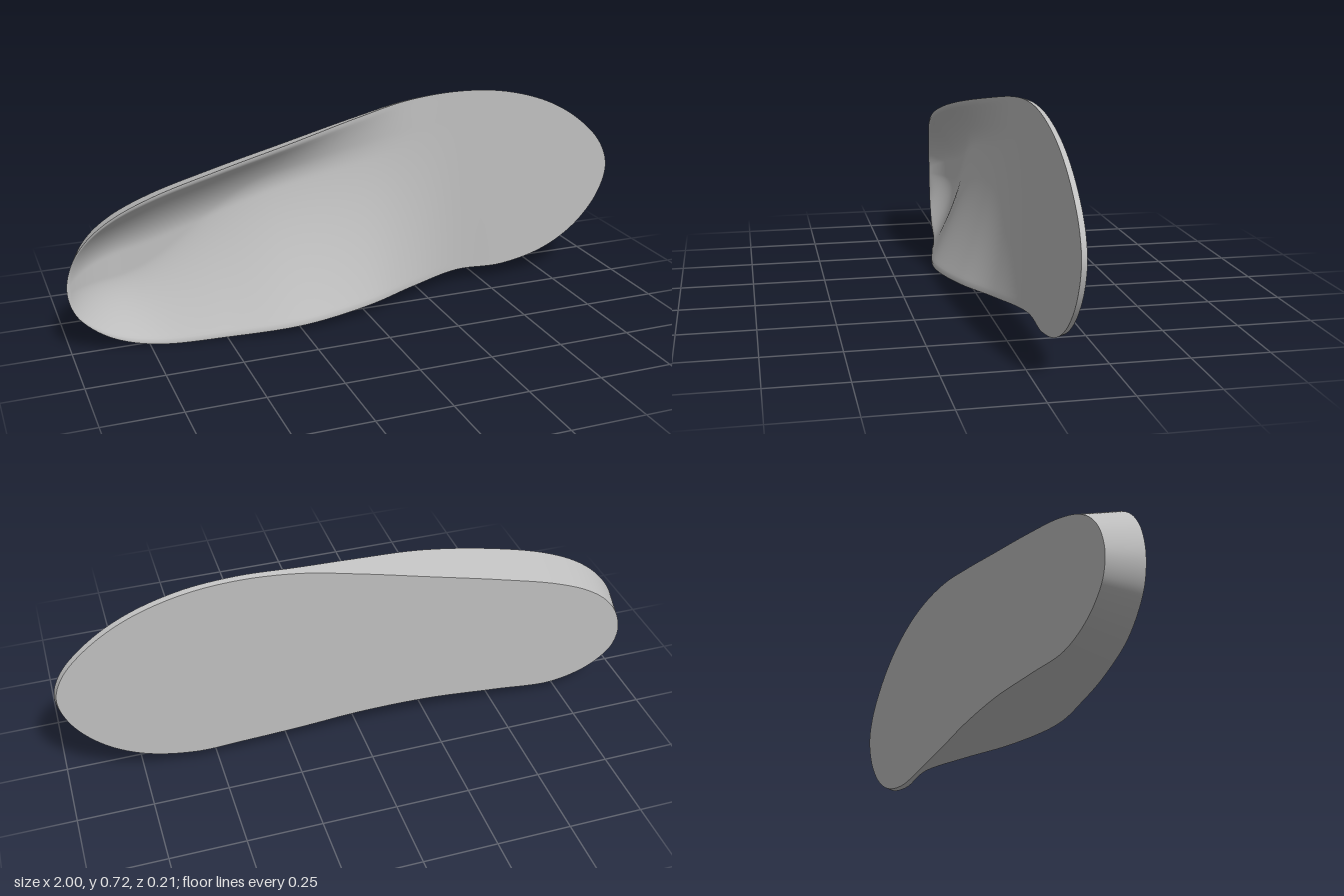
import * as THREE from 'three';
import { mergeVertices } from 'three/addons/utils/BufferGeometryUtils.js';

const BACK = -0.105; // plane of the flat underside
const LEAN = 0.28;   // how far the wall leans in per unit of height

// Rim stations from heel to toe: x, inner y, inner z, outer y, outer z
const heelTip = [-1, 0.22, 0.003];
const stations = [
  [-0.98, 0.14, 0.005, 0.31, 0.007],
  [-0.93, 0.083, 0.01, 0.385, 0.015],
  [-0.85, 0.035, 0.018, 0.45, 0.026],
  [-0.72, 0.003, 0.03, 0.51, 0.034],
  [-0.5, 0.01, 0.072, 0.573, 0.032],
  [-0.25, 0.024, 0.104, 0.63, 0.01],
  [0, 0.038, 0.06, 0.678, -0.042],
  [0.2, 0.047, -0.02, 0.71, -0.08],
  [0.4, 0.056, -0.085, 0.722, -0.087],
  [0.58, 0.053, -0.087, 0.704, -0.087],
  [0.75, 0.092, -0.087, 0.65, -0.087],
  [0.88, 0.17, -0.087, 0.57, -0.087],
  [0.97, 0.28, -0.087, 0.475, -0.087],
];
const toeTip = [1, 0.385, -0.087];

// Closed rim: inner side heel to toe, then outer side back to the heel
const vec = (p) => new THREE.Vector3(...p);
const rim = new THREE.CatmullRomCurve3([
  vec(heelTip),
  ...stations.map(([x, y, z]) => vec([x, y, z])),
  vec(toeTip),
  ...stations.map(([x, , , y, z]) => vec([x, y, z])).reverse(),
], true, 'centripetal');

// Lower edge of the wall, drawn in under the rim
function baseEdge(u) {
  const p = rim.getPoint(u);
  const t = rim.getTangent(u);
  const inset = LEAN * (p.z - BACK) / Math.hypot(t.x, t.y);
  return new THREE.Vector3(p.x - t.y * inset, p.y + t.x * inset, BACK);
}

// Linear interpolation through a few [x, value] pairs
function along(pairs, x) {
  if (x <= pairs[0][0]) return pairs[0][1];
  for (let i = 1; i < pairs.length; i++) {
    const [x0, a] = pairs[i - 1], [x1, b] = pairs[i];
    if (x <= x1) return a + (b - a) * THREE.MathUtils.smoothstep(x, x0, x1);
  }
  return pairs[pairs.length - 1][1];
}
const floorZ = [[-0.8, -0.068], [-0.25, -0.057], [0.4, -0.087]];
const innerReach = [[-0.85, 0.45], [-0.3, 0.85]];
const outerReach = [[-0.8, 0.36], [-0.2, 0.25]];

// Foot-side surface: cupped heel, raised arch, flat toe
function footbedPoint(u, v) {
  const inner = rim.getPoint(u / 2);
  const outer = rim.getPoint(1 - u / 2);
  const p = inner.clone().lerp(outer, v);
  if (v === 0 || v === 1) return p;
  const t = THREE.MathUtils.clamp((v - 0.02) / 0.96, 0, 1);
  const x = p.x;
  // the cup climbs to the rim behind the heel
  const climb = Math.pow(THREE.MathUtils.clamp((-0.75 - x) / 0.24, 0, 1), 2.5);
  const floor = THREE.MathUtils.lerp(along(floorZ, x), heelTip[2], climb);
  const rise = (d, reach, power) => Math.pow(Math.max(0, 1 - d / reach), power);
  p.z = floor
    + (inner.z - floor) * rise(t, along(innerReach, x), 1.6)
    + (outer.z - floor) * rise(1 - t, along(outerReach, x), 1.8);
  return p;
}

// Smooth surface from a rule giving a point for u, v in 0..1
function surface(cols, rows, rule) {
  const pos = [], index = [];
  for (let i = 0; i <= cols; i++) {
    for (let j = 0; j <= rows; j++) pos.push(...rule(i / cols, j / rows).toArray());
  }
  for (let i = 0; i < cols; i++) {
    for (let j = 0; j < rows; j++) {
      const a = i * (rows + 1) + j, b = a + rows + 1;
      index.push(a, b, b + 1, a, b + 1, a + 1);
    }
  }
  const geo = new THREE.BufferGeometry();
  geo.setAttribute('position', new THREE.Float32BufferAttribute(pos, 3));
  geo.setIndex(index);
  const merged = mergeVertices(geo, 1e-5);
  merged.computeVertexNormals();
  return merged;
}

export function createModel() {
  const grey = new THREE.MeshStandardMaterial({ color: 0xc0c0c0 });
  grey.name = 'soft grey';
  const group = new THREE.Group();
  group.name = 'insole';
  const add = (name, geo) => {
    const mesh = new THREE.Mesh(geo, grey);
    mesh.name = name;
    group.add(mesh);
  };

  add('footbed', surface(140, 60, footbedPoint));
  add('sideWall', surface(280, 4, (u, v) => baseEdge(u % 1).lerp(rim.getPoint(u % 1), v)));
  add('flatUnderside', surface(140, 4, (u, v) =>
    baseEdge((1 - u / 2) % 1).lerp(baseEdge(u / 2), v)));
  return group;
}
